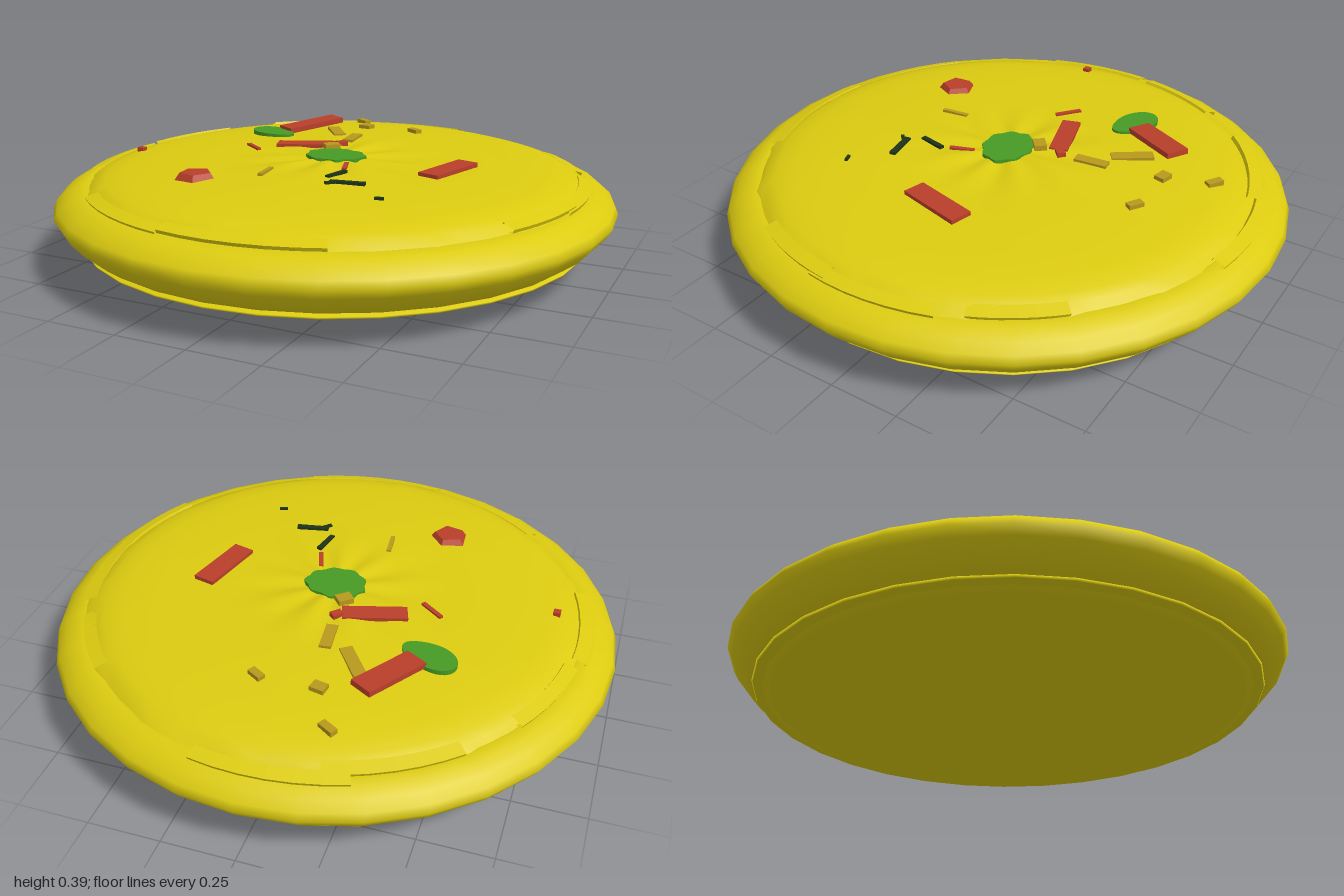
import * as THREE from 'three';

const YELLOW = 0xdccb10, RED = 0xb93f2a, GREEN = 0x469a24, TAN = 0xb8981c, DARK = 0x1c3318;

const mat = (color, flatShading = false) =>
  new THREE.MeshStandardMaterial({ color, flatShading, side: THREE.DoubleSide });

// Height of the filling surface: a shallow dome with soft ripples
const domeProfile = [[0, 0.362], [0.12, 0.36], [0.3, 0.357], [0.5, 0.352], [0.68, 0.343], [0.78, 0.332], [0.85, 0.312], [0.89, 0.285]];
function topHeight(x, z) {
  const r = Math.hypot(x, z), a = Math.atan2(x, z);
  let y = 0.27;
  for (let i = 0; i < domeProfile.length - 1; i++) {
    const [r0, y0] = domeProfile[i], [r1, y1] = domeProfile[i + 1];
    if (r >= r0 && r <= r1) y = y0 + (y1 - y0) * (r - r0) / (r1 - r0);
  }
  const edge = Math.min(1, r / 0.3) * Math.max(0, 1 - r / 0.9);
  const creases = 0.005 * Math.sin(9 * a) * Math.exp(-Math.pow((r - 0.18) / 0.12, 2));
  return y + 0.008 * edge * Math.sin(2 * a + 1.2) + creases + 0.006 * x * Math.min(1, r);
}

const lathe = (pts, segments = 32, start = 0, length = Math.PI * 2) =>
  new THREE.LatheGeometry(pts.map(p => new THREE.Vector2(p[0], p[1])), segments, start, length);

// Irregular flat slice, outlined by a wavy ellipse
function sliceGeometry(rx, rz, lobes, wave, depth) {
  const pts = [];
  for (let i = 0; i < 36; i++) {
    const a = i / 36 * Math.PI * 2, k = 1 + wave * Math.sin(lobes * a) + wave * 0.6 * Math.sin(3 * a + 1);
    pts.push(new THREE.Vector2(rx * k * Math.cos(a), rz * k * Math.sin(a)));
  }
  const g = new THREE.ExtrudeGeometry(new THREE.Shape(pts), { depth, bevelEnabled: false });
  return g.rotateX(-Math.PI / 2);
}

export function createModel() {
  const group = new THREE.Group();
  const add = (name, geometry, material) => {
    const m = new THREE.Mesh(geometry, material);
    m.name = name;
    group.add(m);
    return m;
  };
  const crust = mat(YELLOW);

  // Puffed rim
  const rim = [[0.86, 0.1], [0.9, 0.112], [0.945, 0.145], [0.98, 0.185], [0.997, 0.215], [0.985, 0.24], [0.955, 0.266], [0.92, 0.284], [0.885, 0.291], [0.86, 0.283]];
  add('rim', lathe(rim), crust);

  // Domed filling, ripples applied over a lathe
  const rings = [];
  for (let i = 0; i <= 24; i++) rings.push([0.89 * (1 - i / 24), 0.3]);
  const fill = lathe(rings, 72);
  const p = fill.attributes.position;
  for (let i = 0; i < p.count; i++) p.setY(i, topHeight(p.getX(i), p.getZ(i)));
  fill.computeVertexNormals();
  add('filling', fill, crust);

  // Shallow underside, its lip and the central bulge
  add('underside', lathe([[0, 0.024], [0.3, 0.028], [0.55, 0.042], [0.75, 0.066], [0.84, 0.082], [0.88, 0.097], [0.87, 0.112]]), crust);
  add('undersideLip', lathe([[0.85, 0.09], [0.9, 0.094], [0.905, 0.102], [0.87, 0.108]]), crust);
  add('undersideBulge', lathe([[0, 0.002], [0.12, 0.008], [0.22, 0.019], [0.31, 0.031]], 24), crust);

  // Torn flaps around the inside of the rim: start angle, sweep, radius, height
  const flaps = [
    [-0.75, 0.55, 0.87, 0.297], [-0.2, 0.62, 0.865, 0.304], [1.07, 0.4, 0.875, 0.308],
    [1.4, 0.5, 0.88, 0.3], [2.0, 0.35, 0.865, 0.302], [2.95, 0.55, 0.9, 0.3],
    [3.4, 0.5, 0.87, 0.31], [4.15, 0.4, 0.865, 0.305], [4.6, 0.45, 0.88, 0.296]
  ];
  for (const [start, sweep, r, y] of flaps) {
    const section = [[r - 0.035, y - 0.015], [r + 0.02, y - 0.012], [r + 0.025, y], [r - 0.02, y + 0.014], [r - 0.035, y - 0.015]];
    add('crustFlap', lathe(section, 6, start, sweep), mat(YELLOW, true));
  }

  // Strips on the filling: x, z, length, width, thickness, direction, tilt, lift
  const strip = (name, color, [x, z, l, w, t, dx, dz, tilt, lift]) => {
    const m = add(name, new THREE.BoxGeometry(l, t, w), mat(color, true));
    m.position.set(x, topHeight(x, z) + lift, z);
    m.rotation.set(0, Math.atan2(-dz, dx), tilt, 'YXZ');
  };
  [
    [-0.315, -0.435, 0.25, 0.085, 0.02, 0.13, -0.22, 0.07, 0.022],
    [-0.18, -0.13, 0.225, 0.068, 0.02, 0.22, -0.07, 0.02, 0.004],
    [0.43, 0, 0.245, 0.08, 0.02, 0.06, -0.23, 0, 0.004],
    [-0.36, -0.04, 0.1, 0.016, 0.015, 0.09, 0.07, 0, 0],
    [0.1, 0.13, 0.09, 0.016, 0.015, 0.03, 0.09, 0, 0],
    [-0.77, 0.105, 0.025, 0.025, 0.02, 1, 0, 0, 0.004],
    [-0.06, -0.18, 0.04, 0.03, 0.02, 1, -1, 0, 0.004]
  ].forEach(s => strip('redStrip', RED, s));
  [
    [-0.185, -0.4, 0.15, 0.045, 0.015, 0.1, 0.14, 0, 0.001],
    [-0.07, -0.3, 0.12, 0.04, 0.015, 0.01, 0.1, 0, 0.001],
    [-0.2, -0.705, 0.06, 0.028, 0.02, 0.05, 0.03, 0, 0.005],
    [-0.12, -0.55, 0.05, 0.04, 0.02, 1, 0.2, 0, 0.005],
    [0.09, -0.55, 0.055, 0.028, 0.02, 0.05, 0.03, 0, 0.005],
    [-0.06, -0.095, 0.055, 0.045, 0.02, 0.6, -0.5, 0, 0.008],
    [-0.115, 0.31, 0.1, 0.016, 0.015, 0.01, 0.1, 0, 0.001]
  ].forEach(s => strip('tanCrumb', TAN, s));
  [
    [0.2, 0.33, 0.12, 0.022, 0.015, 0.12, -0.02, 0, 0.001],
    [0.12, 0.245, 0.1, 0.018, 0.015, -0.02, 0.09, 0, 0.001],
    [0.155, 0.35, 0.05, 0.012, 0.015, 0.04, -0.04, 0, 0.001],
    [0.36, 0.44, 0.03, 0.01, 0.015, 0.03, -0.01, 0, 0.001]
  ].forEach(s => strip('darkHerb', DARK, s));

  // Five-sided red chunk
  const chunk = add('redChunk', new THREE.CylinderGeometry(0.055, 0.08, 0.035, 5), mat(RED, true));
  chunk.position.set(-0.31, topHeight(-0.31, 0.44) + 0.003, 0.44);
  chunk.rotation.y = 0.4;

  // Green slices
  const centre = add('greenCentreSlice', sliceGeometry(0.108, 0.088, 9, 0.05, 0.02), mat(GREEN, true));
  centre.position.set(0, 0.349, 0);
  const leaf = add('greenLeaf', sliceGeometry(0.1, 0.06, 2, 0.06, 0.018), mat(GREEN, true));
  leaf.position.set(-0.415, topHeight(-0.415, -0.295) - 0.005, -0.295);
  leaf.rotation.y = -0.45;

  return group;
}
